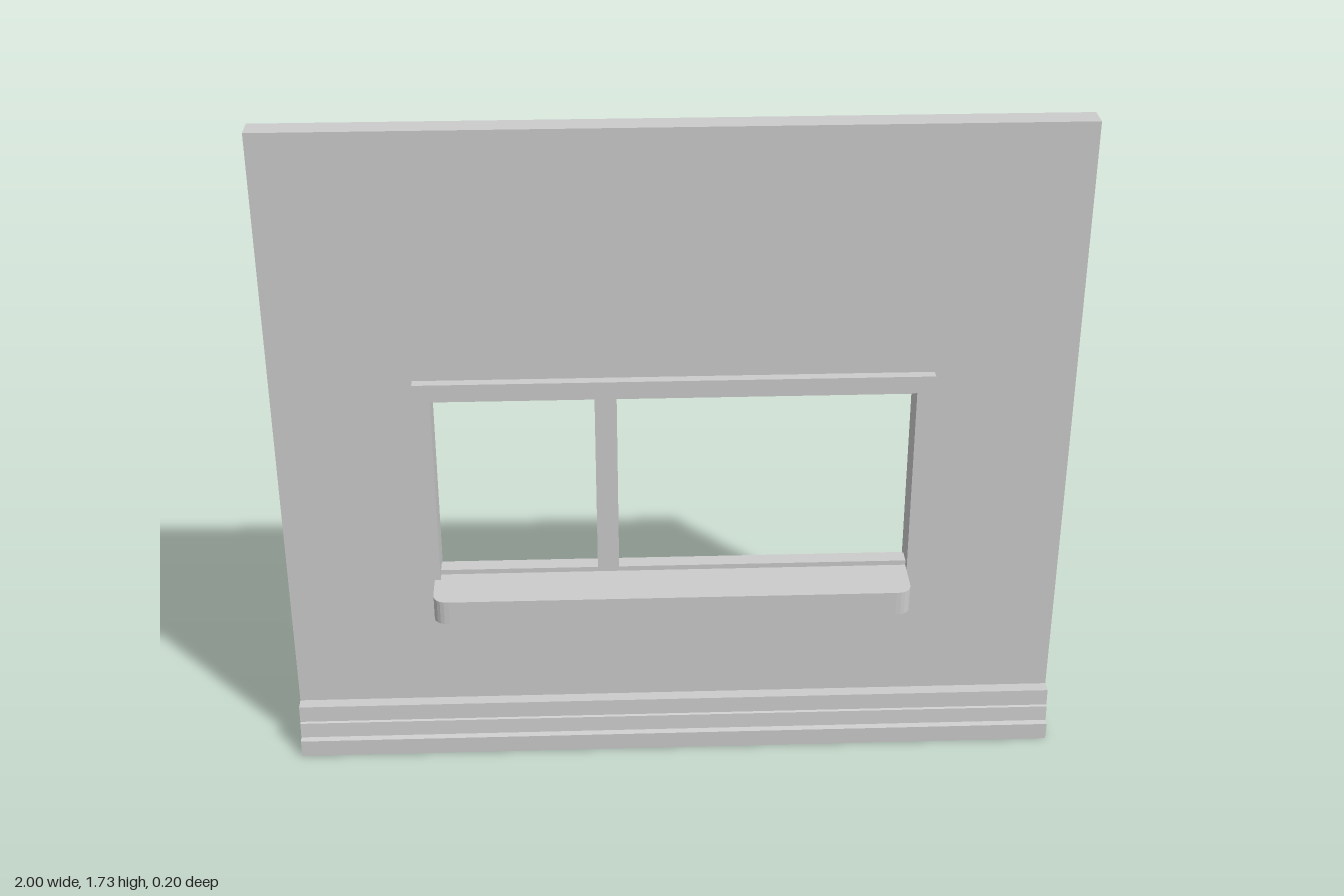
import * as THREE from 'three';

const X0 = -0.605, X1 = 0.6, Y0 = 0.525, Y1 = 1.04; // window opening
const BACK = -0.1, FACE = -0.036; // wall surfaces in z

const points = (list) => list.map(([x, y]) => new THREE.Vector2(x, y));

export function createModel() {
  const model = new THREE.Group();
  const material = new THREE.MeshStandardMaterial({ color: 0xcccccc });

  const add = (name, geometry) => {
    const mesh = new THREE.Mesh(geometry, material);
    mesh.name = name;
    model.add(mesh);
    return mesh;
  };
  const extrude = (shape, depth) =>
    new THREE.ExtrudeGeometry(shape, { depth, bevelEnabled: false, curveSegments: 6 });
  const box = (name, x0, x1, y0, y1, z0, z1) =>
    add(name, new THREE.BoxGeometry(x1 - x0, y1 - y0, z1 - z0))
      .position.set((x0 + x1) / 2, (y0 + y1) / 2, (z0 + z1) / 2);

  // Wall panel with the window opening
  const wall = new THREE.Shape(points([[-1, 0], [1, 0], [1, 1.732], [-1, 1.732]]));
  wall.holes.push(new THREE.Path(points([[X0, Y0], [X0, Y1], [X1, Y1], [X1, Y0]])));
  add('wall', extrude(wall, FACE - BACK)).position.z = BACK;

  // Casing round the sides and top of the opening
  const casing = new THREE.Shape(points([
    [-0.648, 0.48], [X0, 0.48], [X0, Y1], [X1, Y1],
    [X1, 0.48], [0.645, 0.48], [0.645, 1.085], [-0.648, 1.085],
  ]));
  add('windowCasing', extrude(casing, 0.026)).position.z = FACE;

  // Slim rails and the off-centre mullion
  box('topRail', X0, X1, 1.025, Y1, -0.075, FACE);
  box('bottomRail', X0, X1, Y0, 0.538, -0.075, FACE);
  box('mullion', -0.2, -0.145, 0.538, 1.025, -0.075, FACE);

  // Window sill with rounded front corners, drawn in plan
  const L = -0.62, R = 0.6, F = 0.1, r = 0.04;
  const sill = new THREE.Shape();
  sill.moveTo(L, -FACE);
  sill.lineTo(L, -F + r);
  sill.quadraticCurveTo(L, -F, L + r, -F);
  sill.lineTo(R - r, -F);
  sill.quadraticCurveTo(R, -F, R, -F + r);
  sill.lineTo(R, -FACE);
  const sillMesh = add('windowSill', extrude(sill, 0.065));
  sillMesh.rotation.x = -Math.PI / 2;
  sillMesh.position.y = 0.46;

  // Stepped skirting board: profile in (-z, y), swept along x
  const skirting = new THREE.Shape(points([
    [-FACE, 0], [-FACE, 0.14], [0.003, 0.14], [0.001, 0.095],
    [-0.004, 0.092], [-0.007, 0.05], [-0.022, 0.047], [-0.022, 0],
  ]));
  const skirtingMesh = add('skirtingBoard', extrude(skirting, 2));
  skirtingMesh.rotation.y = Math.PI / 2;
  skirtingMesh.position.x = -1;

  return model;
}
